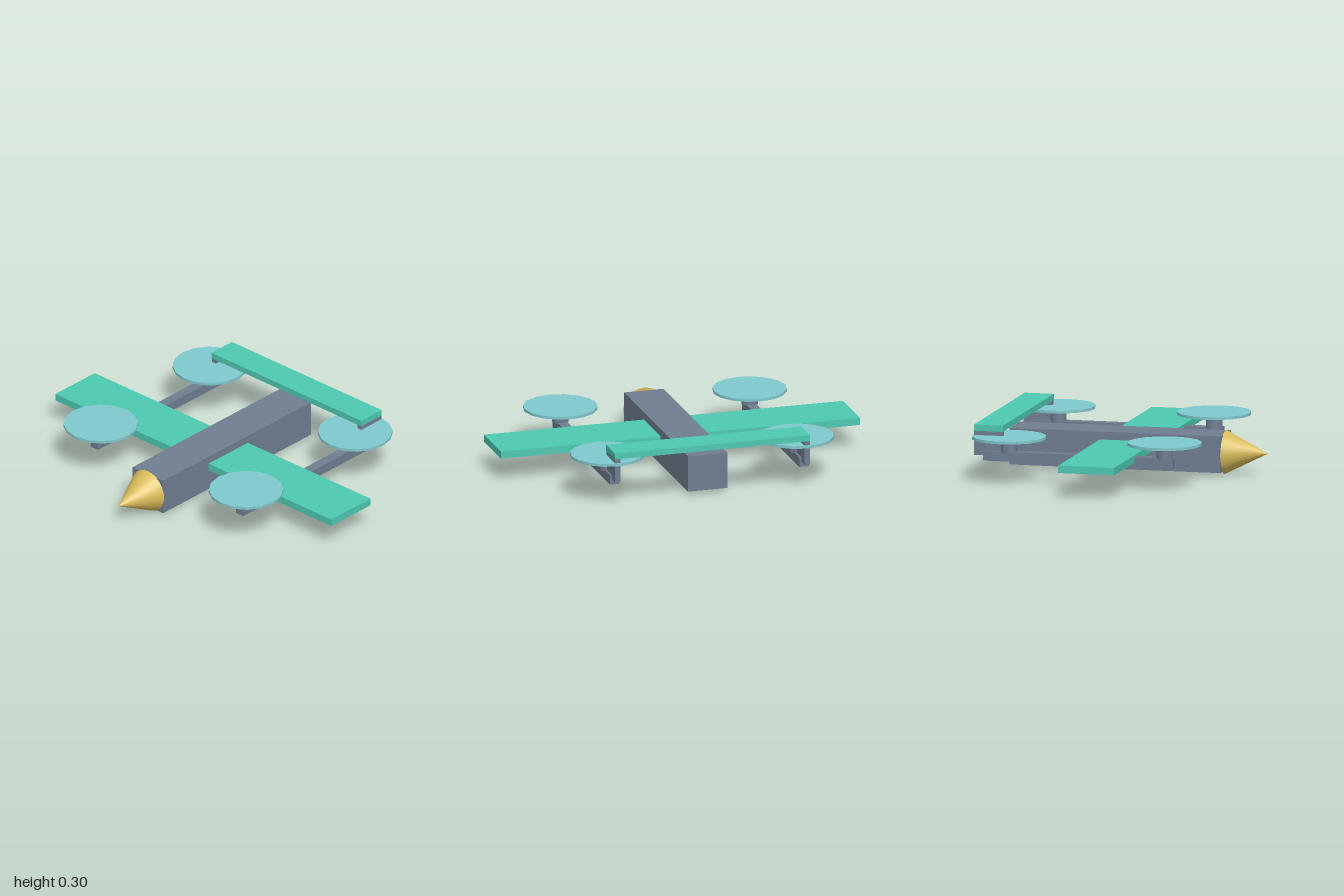
import * as THREE from 'three';

const mat = (name, color) => {
  const m = new THREE.MeshStandardMaterial({ color });
  m.name = name;
  return m;
};

export function createModel() {
  const grey = mat('slate grey', 0x6f7d90);
  const green = mat('sea green', 0x4dc8b0);
  const aqua = mat('pale aqua', 0x7fc8cc);
  const gold = mat('gold', 0xd8bb5a);

  const model = new THREE.Group();
  model.name = 'quadPlane';

  const add = (name, geometry, material, x, y, z) => {
    const mesh = new THREE.Mesh(geometry, material);
    mesh.name = name;
    mesh.position.set(x, y, z);
    model.add(mesh);
    return mesh;
  };
  // Box given by its limits on each axis
  const box = (name, material, [x0, x1], [y0, y1], [z0, z1]) =>
    add(name, new THREE.BoxGeometry(x1 - x0, y1 - y0, z1 - z0), material,
      (x0 + x1) / 2, (y0 + y1) / 2, (z0 + z1) / 2);

  // Body and pointed nose
  box('fuselage', grey, [-0.11, 0.11], [0.02, 0.217], [-0.65, 0.51]);
  const nose = add('noseCone', new THREE.ConeGeometry(0.117, 0.232, 24), gold, 0, 0.117, 0.625);
  nose.rotation.x = Math.PI / 2;

  // Main wing and raised tailplane
  box('wing', green, [-1, 1], [0.135, 0.175], [-0.154, 0.154]);
  box('tailplane', green, [-0.543, 0.543], [0.267, 0.3], [-0.735, -0.575]);

  for (const side of [-1, 1]) {
    const label = side > 0 ? 'left' : 'right';
    const x = side * 0.527;

    // Boom with an upright that carries the tailplane
    box(label + 'Boom', grey, [x - 0.027, x + 0.027], [0.11, 0.162], [-0.682, 0.36]);
    box(label + 'TailUpright', grey, [x - 0.015, x + 0.015], [0.137, 0.28], [-0.734, -0.577]);

    // Lift motors and rotor discs
    for (const [end, z] of [['Front', 0.31], ['Rear', -0.545]]) {
      add(label + end + 'Motor', new THREE.CylinderGeometry(0.044, 0.044, 0.075, 16), grey, x, 0.193, z);
      add(label + end + 'Rotor', new THREE.CylinderGeometry(0.199, 0.199, 0.015, 16), aqua, x, 0.237, z);
    }
  }

  return model;
}
